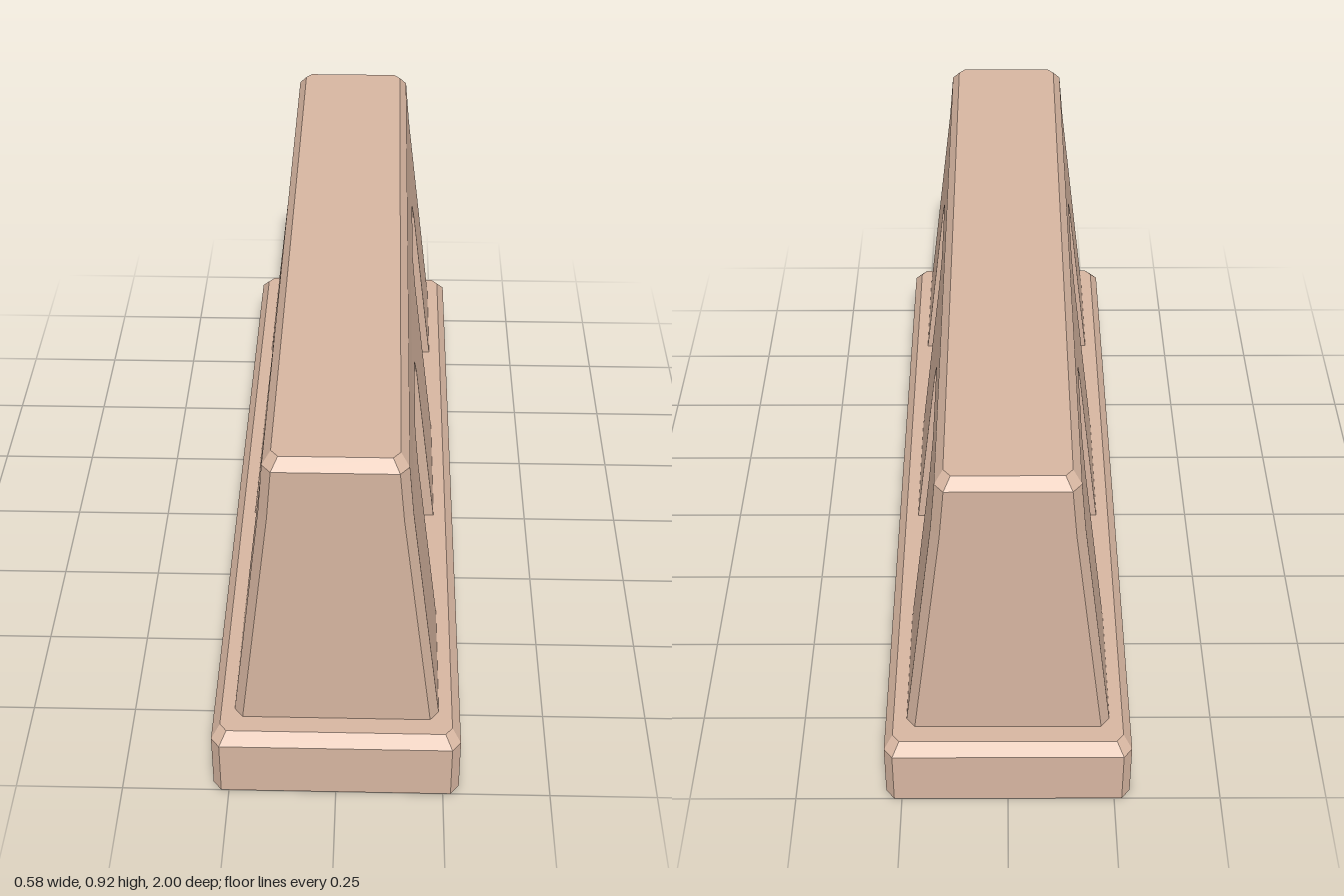
import * as THREE from 'three';

const FOOT_Y = 0.172, MID_Y = 0.77, DEPTH = 0.037;

// Octagonal plan: a rectangle with cut corners, counter-clockwise from above
function plan(x, z, cx, cz) {
  return [[cx - x, z], [x - cx, z], [x, z - cz], [x, cz - z],
    [x - cx, -z], [cx - x, -z], [-x, cz - z], [-x, z - cz]];
}

// Same plan with the long sides set back to form the niche walls
function setBackPlan(x, z, cx, cz, d) {
  const p = plan(x, z, cx, cz);
  return [p[0], p[1], p[2], [x - d, z - cz], [x - d, cz - z], p[3],
    p[4], p[5], p[6], [d - x, cz - z], [d - x, z - cz], p[7]];
}

// Joins stacked outlines [y, points] with flat faces, and caps the ends
function loft(rings, capBottom, capTop) {
  const pos = [];
  const tri = (...v) => v.forEach(([y, p]) => pos.push(p[0], y, p[1]));
  for (let r = 0; r < rings.length - 1; r++) {
    const [y0, lo] = rings[r], [y1, hi] = rings[r + 1];
    for (let i = 0; i < lo.length; i++) {
      const j = (i + 1) % lo.length;
      tri([y0, lo[i]], [y0, lo[j]], [y1, hi[j]]);
      tri([y0, lo[i]], [y1, hi[j]], [y1, hi[i]]);
    }
  }
  const cap = ([y, p], up) => {
    for (let i = 1; i < p.length - 1; i++) {
      tri([y, p[0]], [y, p[up ? i : i + 1]], [y, p[up ? i + 1 : i]]);
    }
  };
  if (capBottom) cap(rings[0], false);
  if (capTop) cap(rings[rings.length - 1], true);
  const g = new THREE.BufferGeometry();
  g.setAttribute('position', new THREE.Float32BufferAttribute(pos, 3));
  g.computeVertexNormals();
  return g;
}

// Leaning side panel with two cut-corner niches open at the foot
function sidePanel() {
  const s = new THREE.Shape();
  s.moveTo(-0.905, FOOT_Y);
  for (const c of [-0.382, 0.382]) {
    for (const [u, y] of [[-0.187, FOOT_Y], [-0.187, 0.638], [-0.142, 0.705],
      [0.142, 0.705], [0.187, 0.638], [0.187, FOOT_Y]]) s.lineTo(c + u, y);
  }
  s.lineTo(0.905, FOOT_Y);
  s.lineTo(0.905, MID_Y);
  s.lineTo(-0.905, MID_Y);
  s.closePath();
  const g = new THREE.ExtrudeGeometry(s, { depth: DEPTH, bevelEnabled: false });
  g.rotateY(Math.PI / 2);
  const p = g.attributes.position;
  for (let i = 0; i < p.count; i++) {
    const t = (p.getY(i) - FOOT_Y) / (MID_Y - FOOT_Y);
    p.setX(i, p.getX(i) - DEPTH + THREE.MathUtils.lerp(0.237, 0.166, t));
  }
  g.computeVertexNormals();
  return g;
}

export function createModel() {
  const group = new THREE.Group();
  const material = new THREE.MeshStandardMaterial({ color: 0xd6b5a0, flatShading: true });
  const add = (name, geometry) => {
    const mesh = new THREE.Mesh(geometry, material);
    mesh.name = name;
    group.add(mesh);
    return mesh;
  };

  // Wide foot with a bevelled rim
  add('base', loft([
    [0, plan(0.288, 1, 0.02, 0.025)],
    [0.145, plan(0.288, 1, 0.02, 0.025)],
    [FOOT_Y, plan(0.268, 0.975, 0.016, 0.02)],
  ], true, true));

  // Lower wall: ends, corners and niche backs
  add('lowerWall', loft([
    [FOOT_Y, setBackPlan(0.237, 0.93, 0.02, 0.025, DEPTH)],
    [MID_Y, setBackPlan(0.166, 0.93, 0.02, 0.025, DEPTH)],
  ], false, false));

  // Upper wall with a bevelled top
  add('upperWall', loft([
    [MID_Y, plan(0.166, 0.93, 0.02, 0.025)],
    [0.895, plan(0.155, 0.93, 0.02, 0.025)],
    [0.92, plan(0.136, 0.907, 0.016, 0.02)],
  ], false, true));

  // Side panels with niches, one turned to the other side
  const panel = sidePanel();
  add('leftPanel', panel);
  add('rightPanel', panel).rotation.y = Math.PI;

  return group;
}
